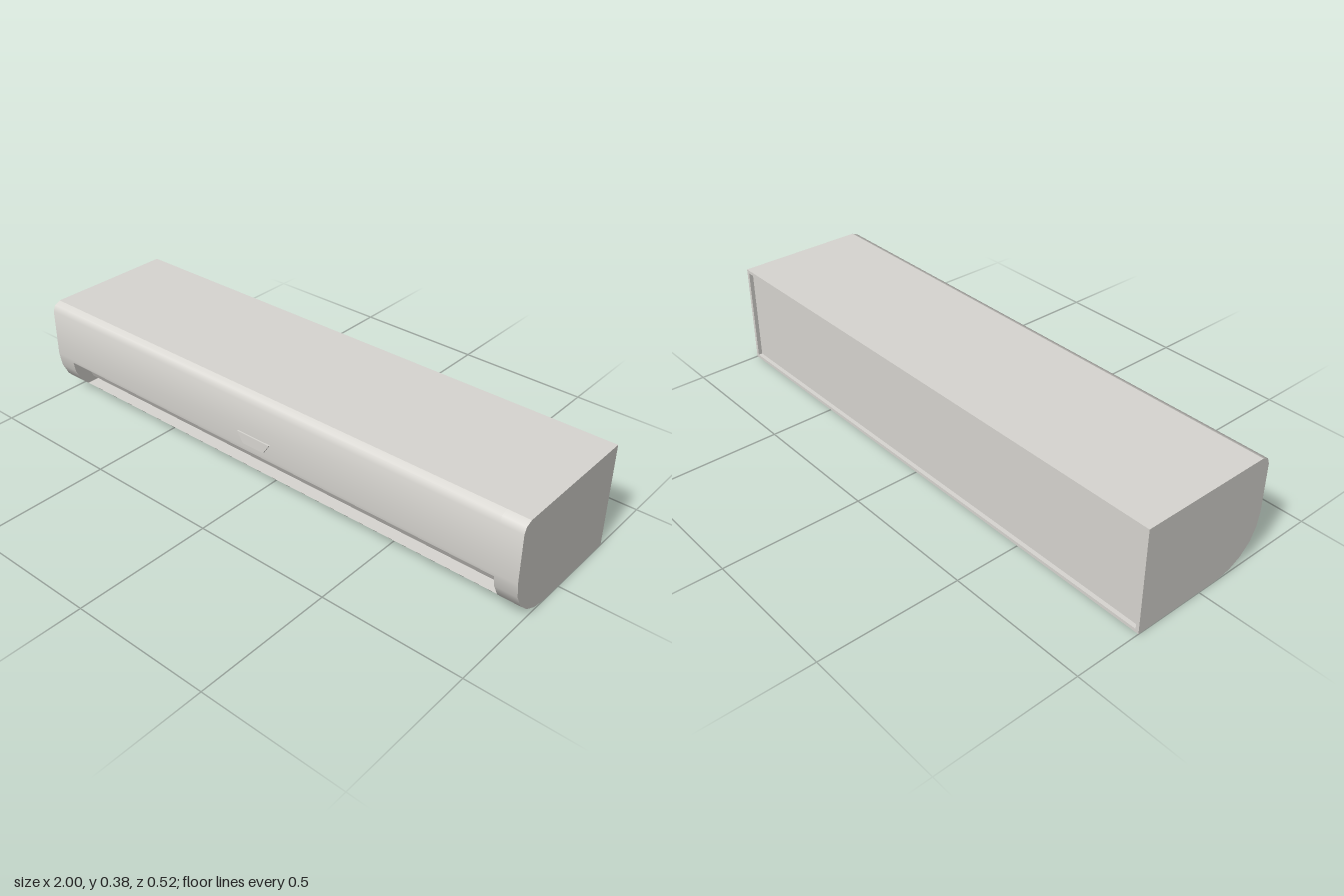
import * as THREE from 'three';

// Side profile as [z, y], running bottom -> front -> top
const BACK = -0.245, SLOT_X = 0.922;
const CURVE = [
  [0.083, 0], [0.137, 0.01], [0.183, 0.033], [0.195, 0.045], [0.222, 0.07], [0.245, 0.117],
  [0.252, 0.157], [0.254, 0.17], [0.254, 0.345], [0.245, 0.367], [0.222, 0.377],
];
const SLOT_FROM = 3, SLOT_TO = 6;

// Outward normal of the step from a to b
const stepNormal = (a, b) => new THREE.Vector2(b[1] - a[1], a[0] - b[0]).normalize();

// Averaged normals along the curve, so its pieces shade as one smooth skin
const CURVE_NORMALS = CURVE.map((p, i) => {
  const n = new THREE.Vector2();
  if (i > 0) n.add(stepNormal(CURVE[i - 1], p));
  if (i < CURVE.length - 1) n.add(stepNormal(p, CURVE[i + 1]));
  return n.normalize();
});

// Sweep a line of [z, y] points from x0 to x1; faceted unless normals are given
function strip(points, x0, x1, normals) {
  const pos = [], nor = [], index = [];
  for (let i = 0; i < points.length - 1; i++) {
    const [a, b] = [points[i], points[i + 1]];
    const flat = stepNormal(a, b);
    const na = normals ? normals[i] : flat, nb = normals ? normals[i + 1] : flat;
    const k = pos.length / 3;
    for (const [x, p, n] of [[x0, a, na], [x1, a, na], [x1, b, nb], [x0, b, nb]]) {
      pos.push(x, p[1], p[0]);
      nor.push(0, n.y, n.x);
    }
    index.push(k, k + 1, k + 2, k, k + 2, k + 3);
  }
  const g = new THREE.BufferGeometry();
  g.setAttribute('position', new THREE.Float32BufferAttribute(pos, 3));
  g.setAttribute('normal', new THREE.Float32BufferAttribute(nor, 3));
  g.setIndex(index);
  return g;
}

const toShape = (points) => new THREE.Shape(points.map(([a, b]) => new THREE.Vector2(a, b)));

// Flat plate in the z-y plane at a given x
const sidePlate = (points, x) =>
  new THREE.ShapeGeometry(toShape(points)).rotateY(-Math.PI / 2).translate(x, 0, 0);

export function createModel() {
  const group = new THREE.Group();
  const casing = new THREE.MeshStandardMaterial({ color: 0xd8d6d1, side: THREE.DoubleSide });
  casing.name = 'warm white casing';
  const add = (name, geometry) => {
    const mesh = new THREE.Mesh(geometry, casing);
    mesh.name = name;
    group.add(mesh);
  };

  // Curved front skin, left open at the air outlet
  const skin = (name, from, to, x0, x1) =>
    add(name, strip(CURVE.slice(from, to + 1), x0, x1, CURVE_NORMALS.slice(from, to + 1)));
  const last = CURVE.length - 1;
  skin('frontLower', 0, SLOT_FROM, -SLOT_X, SLOT_X);
  skin('frontUpper', SLOT_TO, last, -SLOT_X, SLOT_X);
  skin('frontRightEnd', 0, last, -1, -SLOT_X);
  skin('frontLeftEnd', 0, last, SLOT_X, 1);

  // Flat bottom, top and ends
  add('bottom', strip([[BACK, 0], CURVE[0]], -1, 1));
  add('top', strip([CURVE[last], [BACK, 0.377]], -1, 1));
  const section = [[BACK, 0], ...CURVE, [BACK, 0.377]];
  for (const s of [-1, 1]) add(s < 0 ? 'rightEnd' : 'leftEnd', sidePlate(section, s));

  // Rear rim around a recessed panel
  const rim = toShape([[-1, 0], [1, 0], [1, 0.377], [-1, 0.377]]);
  rim.holes.push(toShape([[-0.988, 0.012], [-0.988, 0.365], [0.988, 0.365], [0.988, 0.012]]));
  add('rearRim', new THREE.ExtrudeGeometry(rim, { depth: 0.015, bevelEnabled: false }).translate(0, 0, -0.26));
  add('rearPanel', new THREE.PlaneGeometry(2, 0.377).rotateY(Math.PI).translate(0, 0.1885, BACK));

  // Air outlet: recess with floor, back, ceiling and ends
  const mouth = CURVE.slice(SLOT_FROM, SLOT_TO + 1);
  const inset = (d) => mouth.map(([z, y]) => [z - d, y]);
  const recess = [mouth[0], ...inset(0.06), mouth[mouth.length - 1]];
  add('outletRecess', strip(recess, -SLOT_X, SLOT_X));
  const wall = [...mouth, ...inset(0.06).reverse()];
  for (const s of [-1, 1]) add('outletEnd', sidePlate(wall, s * SLOT_X));

  // Louver flap set inside the outlet
  add('louver', strip(inset(0.048), -0.912, 0.912));
  const flapEnd = [...inset(0.048), ...inset(0.06).reverse()];
  for (const s of [-1, 1]) add('louverEnd', sidePlate(flapEnd, s * 0.912));

  // Tapered plate on the front
  const badge = toShape([[-0.045, 0.187], [0.045, 0.187], [0.07, 0.225], [-0.07, 0.225]]);
  add('frontPlate', new THREE.ExtrudeGeometry(badge, { depth: 0.007, bevelEnabled: false }).translate(0, 0, 0.253));

  // Small catches under the front corners
  for (const s of [-1, 1]) {
    add('catch', new THREE.BoxGeometry(0.04, 0.004, 0.008).translate(s * 0.96, 0.02, 0.159));
  }
  return group;
}
